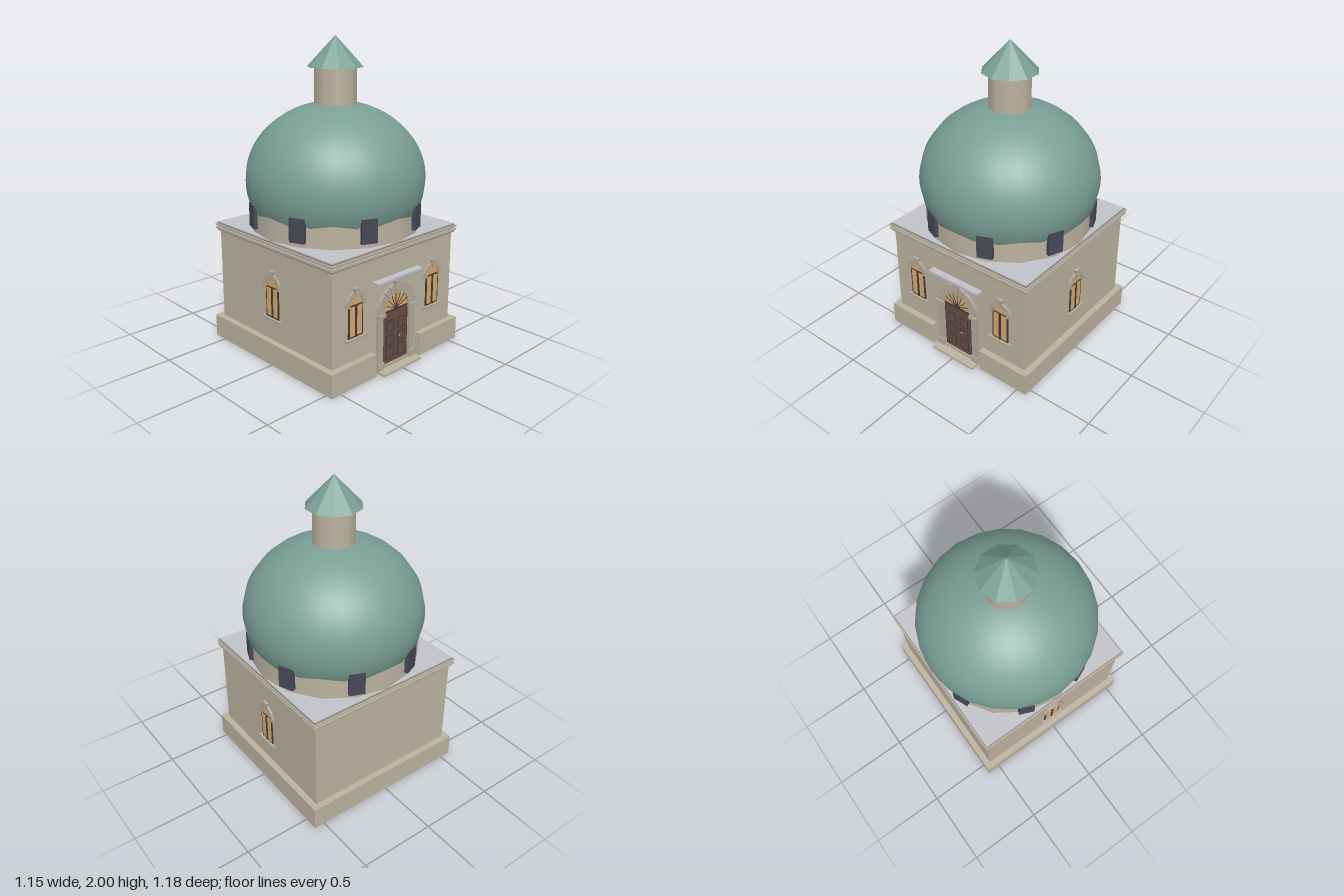
import * as THREE from 'three';

const mat = (name, color, side = THREE.FrontSide) => {
  const m = new THREE.MeshStandardMaterial({ color, side });
  m.name = name;
  return m;
};

export function createModel() {
  const stone = mat('stone', 0xbcb29f);
  const trim = mat('trim stone', 0xb1a999);
  const lead = mat('roof lead', 0xc2c3c9);
  const cornice = mat('cornice grey', 0x8d8a88);
  const copper = mat('green copper', 0x7a9f95, THREE.DoubleSide);
  const slate = mat('dark slate', 0x454956);
  const wood = mat('door wood', 0x664e46);
  const darkWood = mat('dark wood', 0x483833);
  const glass = mat('amber glass', 0xd2aa74);

  const root = new THREE.Group();
  root.name = 'domedPavilion';
  const building = new THREE.Group();
  building.name = 'building';
  building.position.z = -0.02;
  root.add(building);

  const add = (parent, name, geo, material, x = 0, y = 0, z = 0) => {
    const m = new THREE.Mesh(geo, material);
    m.name = name;
    m.position.set(x, y, z);
    parent.add(m);
    return m;
  };
  // box placed by its bottom centre and its back face
  const block = (parent, name, material, w, h, d, x, y, z) =>
    add(parent, name, new THREE.BoxGeometry(w, h, d), material, x, y + h / 2, z + d / 2);
  const extrude = (shape, depth) =>
    new THREE.ExtrudeGeometry(shape, { depth, bevelEnabled: false, curveSegments: 10 });

  // ring of wedge stones around a half circle, with a taller keystone
  const stoneArch = (parent, r0, r1, keyTop, count, depth, y, z) => {
    const step = Math.PI / count, gap = 0.012;
    for (let i = 0; i < count; i++) {
      const a = i * step + gap, b = (i + 1) * step - gap;
      const key = i === (count - 1) / 2;
      const s = new THREE.Shape();
      s.absarc(0, 0, key ? keyTop : r1, a, b, false);
      s.absarc(0, 0, r0, b, a, true);
      add(parent, key ? 'keystone' : 'archStone', extrude(s, key ? depth + 0.006 : depth), trim, 0, y, z);
    }
  };
  const halfDisc = (r) => {
    const s = new THREE.Shape();
    s.absarc(0, 0, r, 0, Math.PI, false);
    return s;
  };

  // plinth, notched at the door
  const P = 0.57, W = 0.53;
  const plan = new THREE.Shape([
    [-P, P], [-P, -P], [-0.2, -P], [-0.2, -W], [0.2, -W], [0.2, -P], [P, -P], [P, P],
  ].map(([x, y]) => new THREE.Vector2(x, y)));
  add(building, 'plinth', extrude(plan, 0.15).rotateX(-Math.PI / 2), stone);

  // walls, cornice and flat roof
  block(building, 'walls', stone, 2 * W, 0.64, 2 * W, 0, 0.13, -W);
  [
    ['corniceLower', cornice, 0.543, 0.75, 0.012],
    ['corniceMiddle', stone, 0.552, 0.762, 0.014],
    ['corniceRecess', cornice, 0.54, 0.776, 0.01],
    ['corniceUpper', stone, 0.553, 0.786, 0.012],
    ['corniceCap', cornice, 0.545, 0.798, 0.007],
    ['flatRoof', lead, 0.54, 0.805, 0.005],
  ].forEach(([name, m, r, y, h]) => block(building, name, m, 2 * r, h, 2 * r, 0, y, -r));

  // drum with eight dark openings
  add(building, 'drum', new THREE.CylinderGeometry(0.542, 0.542, 0.17, 16, 1, true), stone, 0, 0.89, 0);
  for (let i = 0; i < 8; i++) {
    const pivot = new THREE.Group();
    pivot.name = 'drumOpening';
    pivot.rotation.y = (i + 0.5) * Math.PI / 4;
    building.add(pivot);
    block(pivot, 'drumWindow', slate, 0.1, 0.15, 0.05, 0, 0.84, 0.508);
  }

  // dome, lantern and pointed cap
  const dome = add(building, 'dome', new THREE.SphereGeometry(0.573, 24, 20, 0, Math.PI * 2, 0, 2.05), copper, 0, 1.11, 0);
  dome.scale.y = 0.49 / 0.573;
  add(building, 'lantern', new THREE.CylinderGeometry(0.135, 0.135, 0.25, 10), stone, 0, 1.69, 0);
  add(building, 'lanternCap', new THREE.ConeGeometry(0.177, 0.19, 10).toNonIndexed(), copper, 0, 1.905, 0)
    .geometry.computeVertexNormals();

  // arched windows on the front and both sides
  const makeWindow = (x, z, turn) => {
    const g = new THREE.Group();
    g.name = 'window';
    g.position.set(x, 0, z);
    g.rotation.y = turn;
    building.add(g);
    block(g, 'windowFrame', darkWood, 0.12, 0.21, 0.006, 0, 0.302, 0);
    for (const s of [-1, 1]) {
      block(g, 'windowPane', glass, 0.038, 0.185, 0.003, s * 0.03, 0.315, 0.006);
    }
    block(g, 'windowMullion', darkWood, 0.008, 0.2, 0.012, 0, 0.306, 0);
    add(g, 'windowArchGlass', extrude(halfDisc(0.056), 0.006), glass, 0, 0.51, 0);
    stoneArch(g, 0.054, 0.083, 0.106, 7, 0.014, 0.51, 0);
    for (const s of [-1, 1]) block(g, 'archFoot', trim, 0.03, 0.014, 0.014, s * 0.068, 0.5, 0);
    block(g, 'windowSill', trim, 0.17, 0.016, 0.022, 0, 0.288, 0);
  };
  makeWindow(-0.345, W, 0);
  makeWindow(0.345, W, 0);
  makeWindow(W, 0, Math.PI / 2);
  makeWindow(-W, 0, -Math.PI / 2);

  // entrance: step, panelled double door, fanlight, surround and hood
  const door = new THREE.Group();
  door.name = 'entrance';
  door.position.z = W;
  building.add(door);
  block(door, 'doorStep', stone, 0.34, 0.015, 0.08, 0, 0, 0);
  block(door, 'threshold', trim, 0.22, 0.015, 0.02, 0, 0.015, 0);
  block(door, 'doorJamb', darkWood, 0.23, 0.36, 0.003, 0, 0.02, 0);
  for (const s of [-1, 1]) {
    block(door, 'doorLeaf', wood, 0.1, 0.34, 0.008, s * 0.052, 0.03, 0);
    [[0.055, 0.08], [0.15, 0.07], [0.24, 0.075]].forEach(([y, h]) => {
      block(door, 'doorPanelEdge', darkWood, 0.068, h, 0.003, s * 0.052, y, 0.008);
      block(door, 'doorPanel', wood, 0.054, h - 0.016, 0.004, s * 0.052, y + 0.008, 0.008);
    });
    block(door, 'pilasterBase', trim, 0.054, 0.06, 0.03, s * 0.143, 0, 0);
    block(door, 'pilaster', trim, 0.044, 0.3, 0.02, s * 0.143, 0.06, 0);
    block(door, 'pilasterCapital', trim, 0.062, 0.022, 0.032, s * 0.14, 0.36, 0);
  }
  add(door, 'doorKnob', new THREE.SphereGeometry(0.007, 8, 6), cornice, 0.03, 0.19, 0.014);
  add(door, 'fanlight', extrude(halfDisc(0.108), 0.006), glass, 0, 0.38, 0);
  block(door, 'transom', darkWood, 0.216, 0.012, 0.01, 0, 0.37, 0);
  for (let i = 1; i < 8; i++) {
    const bar = new THREE.BoxGeometry(0.004, 0.105, 0.004).translate(0, 0.0525, 0);
    add(door, 'fanlightBar', bar, darkWood, 0, 0.38, 0.007).rotation.z = (i / 8 - 0.5) * Math.PI;
  }
  stoneArch(door, 0.106, 0.166, 0.19, 11, 0.018, 0.38, 0);
  block(door, 'hoodLower', cornice, 0.38, 0.008, 0.036, 0, 0.58, 0);
  block(door, 'hoodTop', lead, 0.4, 0.016, 0.045, 0, 0.588, 0);

  return root;
}
